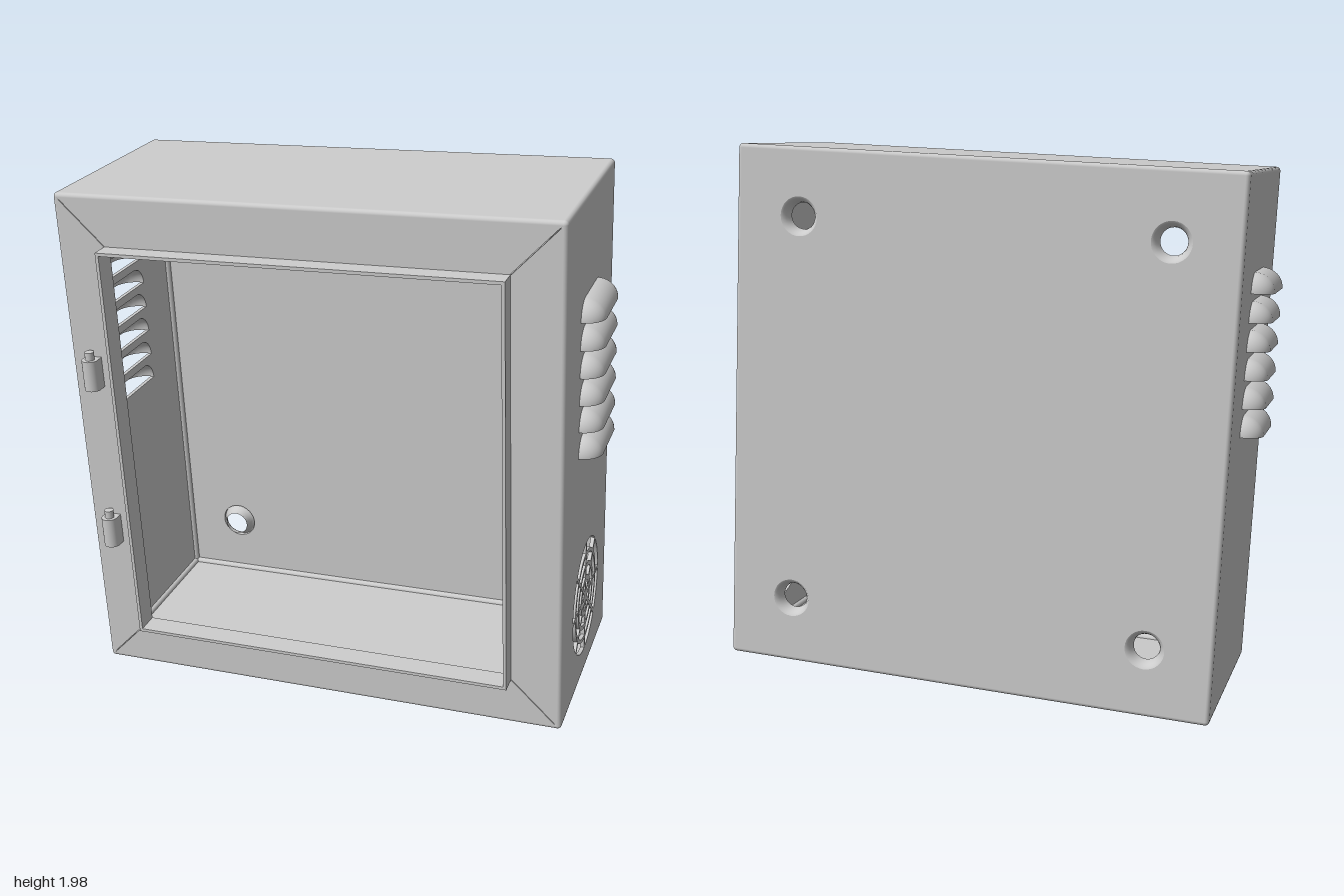
import * as THREE from 'three';

const W = 1.815, H = 1.893, D = 0.785, T = 0.015; // outer size and sheet thickness
const OW = 0.725, OH = 0.762;                     // half size of the front opening
const hw = W / 2, hh = H / 2, hd = D / 2;
const LOUVRE_R = 0.07, LOUVRE_HALF = 0.167;
const louvreBases = [0, 1, 2, 3, 4, 5].map(i => 0.03 + i * 0.1);

const mat = new THREE.MeshStandardMaterial({ color: 0xcccccc });
const thin = new THREE.MeshStandardMaterial({ color: 0xcccccc, side: THREE.DoubleSide });

function add(parent, name, geo, x = 0, y = 0, z = 0, material = mat) {
  const m = new THREE.Mesh(geo, material);
  m.name = name;
  m.position.set(x, y, z);
  parent.add(m);
  return m;
}

function polygon(points) {
  return new THREE.Shape(points.map(p => new THREE.Vector2(...p)));
}

function rect(a, b) {
  return polygon([[-a, -b], [a, -b], [a, b], [-a, b]]);
}

function sheet(shape, depth = T) {
  return new THREE.ExtrudeGeometry(shape, { depth, bevelEnabled: false, curveSegments: 16 });
}

function circleHole(x, y, r) {
  const p = new THREE.Path();
  p.absarc(x, y, r, 0, Math.PI * 2, false);
  return p;
}

// Side wall with louvre slots and, on one side, a round fan grille
function sideWall(withGrille) {
  const shape = rect(hd - T, hh - T);
  const c = LOUVRE_HALF - LOUVRE_R;
  for (const y of louvreBases) {
    const p = new THREE.Path();
    p.moveTo(-LOUVRE_HALF, y);
    p.lineTo(LOUVRE_HALF, y);
    p.absarc(c, y, LOUVRE_R, 0, Math.PI / 2, false);
    p.absarc(-c, y, LOUVRE_R, Math.PI / 2, Math.PI, false);
    shape.holes.push(p);
  }
  if (withGrille) {
    const gx = 0.017, gy = -0.62, spoke = 0.007;
    for (const [r0, r1] of [[0.03, 0.06], [0.08, 0.115], [0.132, 0.167], [0.182, 0.225]]) {
      for (let i = 0; i < 8; i++) {
        const a0 = i * Math.PI / 4, a1 = a0 + Math.PI / 4;
        const o = Math.asin(spoke / r1), n = Math.asin(spoke / r0);
        const p = new THREE.Path();
        p.absarc(gx, gy, r1, a0 + o, a1 - o, false);
        p.absarc(gx, gy, r0, a1 - n, a0 + n, true);
        shape.holes.push(p);
      }
    }
  }
  return sheet(shape).rotateY(Math.PI / 2);
}

// Quarter-round hood with ball ends, open underneath
function louvreHood() {
  const g = new THREE.SphereGeometry(LOUVRE_R, 10, 17, Math.PI, Math.PI / 2, 0, Math.PI);
  g.rotateX(Math.PI / 2);
  const p = g.attributes.position;
  for (let i = 0; i < p.count; i++) {
    p.setZ(i, p.getZ(i) + Math.sign(p.getZ(i)) * (LOUVRE_HALF - LOUVRE_R));
  }
  return g.scale(1.07, 1, 1);
}

export function createModel() {
  const root = new THREE.Group();
  root.name = 'enclosure';
  const box = new THREE.Group();
  box.name = 'cabinet';
  root.add(box);

  // Side walls and louvres
  add(box, 'leftWall', sideWall(true), hw - T, 0, 0);
  add(box, 'rightWall', sideWall(false), -hw, 0, 0);
  const hood = louvreHood();
  for (const s of [1, -1]) {
    for (const y of louvreBases) {
      const m = add(box, 'louvre', hood, s * (hw - 0.001), y, 0, thin);
      if (s < 0) m.rotation.y = Math.PI;
    }
  }

  // Top and bottom
  const lid = new THREE.BoxGeometry(W - 2 * T, T, D - 2 * T);
  add(box, 'topWall', lid, 0, hh - T / 2, 0);
  add(box, 'bottomWall', lid, 0, -hh + T / 2, 0);

  // Back wall with four dimpled mounting holes
  const back = rect(hw - T, hh - T);
  const dimple = new THREE.LatheGeometry(
    [[0.07, 0], [0.063, 0.004], [0.056, 0.014], [0.05, 0.028], [0.047, 0.045]]
      .map(p => new THREE.Vector2(...p)), 32).rotateX(Math.PI / 2);
  for (const x of [-0.667, 0.667]) {
    for (const y of [-0.703, 0.703]) {
      back.holes.push(circleHole(x, y, 0.07));
      add(box, 'mountingDimple', dimple, x, y, -hd, thin);
    }
  }
  add(box, 'backWall', sheet(back), 0, 0, -hd);

  // Mitred front frame: four trapezoids with fine seams
  const g = 0.002, ox = hw - T, oy = hh - T;
  const across = sheet(polygon([[-OW + g, OH], [OW - g, OH], [ox - g, oy], [-ox + g, oy]]));
  const upright = sheet(polygon([[OW, -OH + g], [ox, -oy + g], [ox, oy - g], [OW, OH - g]]));
  for (const turn of [0, Math.PI]) {
    add(box, 'frameRail', across, 0, 0, hd - T).rotation.z = turn;
    add(box, 'frameStile', upright, 0, 0, hd - T).rotation.z = turn;
  }

  // Lip standing forward around the opening
  const lip = rect(OW, OH);
  lip.holes.push(new THREE.Path(rect(OW - 0.012, OH - 0.012).getPoints()));
  add(box, 'openingLip', sheet(lip, 0.07 + T), 0, 0, hd - T);

  // Rounded folds along the twelve edges and balls at the corners
  const bar = len => new THREE.CylinderGeometry(T, T, len, 16, 1, true);
  const barX = bar(W - 2 * T).rotateZ(Math.PI / 2);
  const barY = bar(H - 2 * T);
  const barZ = bar(D - 2 * T).rotateX(Math.PI / 2);
  const ball = new THREE.SphereGeometry(T, 16, 10);
  for (const a of [-1, 1]) {
    for (const b of [-1, 1]) {
      add(box, 'foldedEdge', barX, 0, a * (hh - T), b * (hd - T));
      add(box, 'foldedEdge', barY, a * (hw - T), 0, b * (hd - T));
      add(box, 'foldedEdge', barZ, a * (hw - T), b * (hh - T), 0);
      for (const c of [-1, 1]) {
        add(box, 'corner', ball, a * (hw - T), b * (hh - T), c * (hd - T));
      }
    }
  }

  // Door hinge halves: barrel, foot and pin
  for (const y of [0.305, -0.335]) {
    const hinge = new THREE.Group();
    hinge.name = 'hinge';
    hinge.position.set(-0.82, y, hd + 0.03);
    add(hinge, 'hingeBarrel', new THREE.CylinderGeometry(0.031, 0.031, 0.115, 24), 0, -0.02, 0);
    add(hinge, 'hingeFoot', new THREE.BoxGeometry(0.06, 0.115, 0.03), 0, -0.02, -0.015);
    add(hinge, 'hingePin', new THREE.CylinderGeometry(0.017, 0.017, 0.03, 20), 0, 0.052, 0);
    box.add(hinge);
  }

  // The cabinet stands slightly tilted and turned
  const u = new THREE.Vector3(0.992, 0.0386, -0.121).normalize();
  const w = u.clone().cross(new THREE.Vector3(-0.037, 0.998, 0.037)).normalize();
  const v = w.clone().cross(u);
  box.quaternion.setFromRotationMatrix(new THREE.Matrix4().makeBasis(u, v, w));
  box.position.set(0.005, 1.003, -0.025);
  return root;
}
